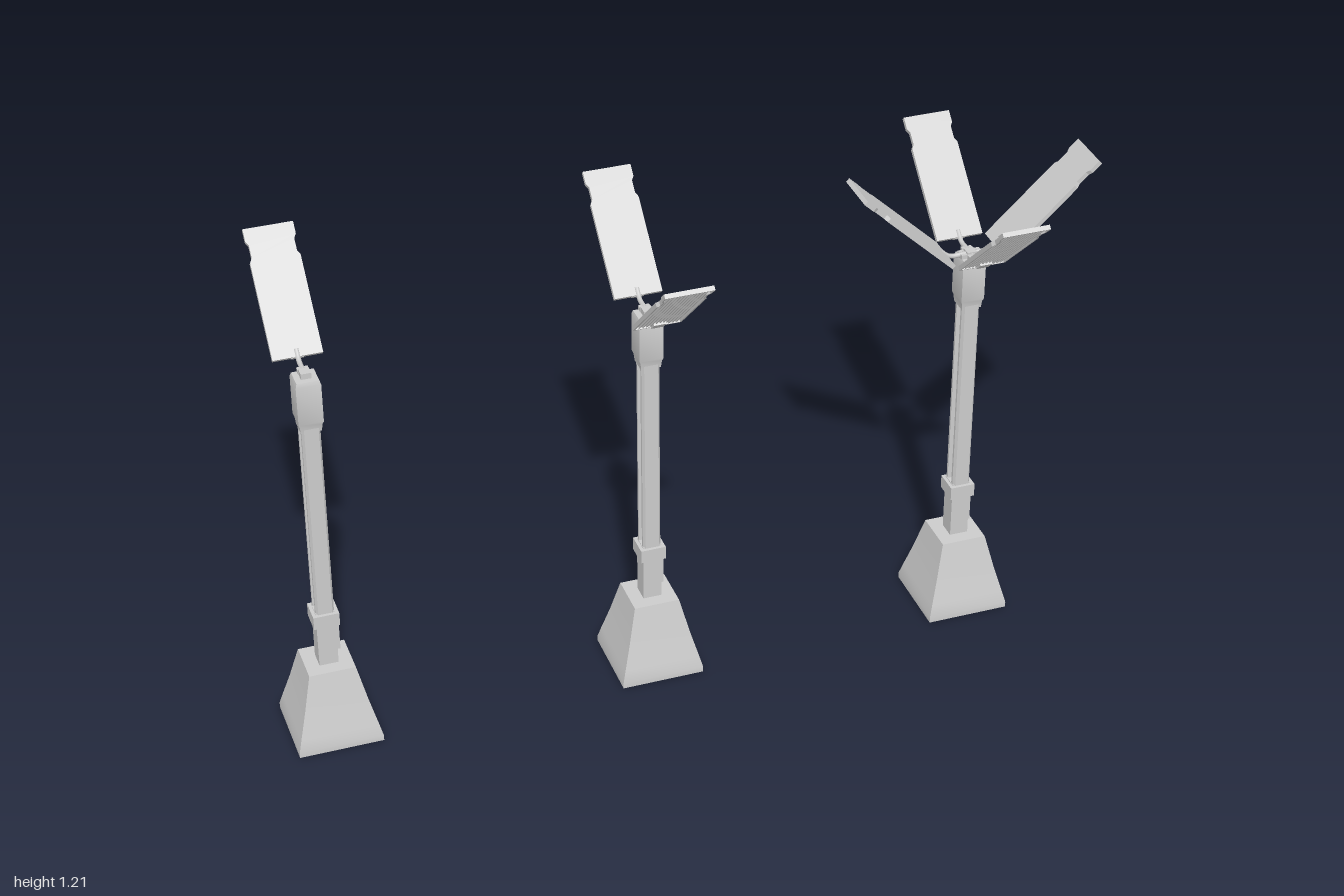
import * as THREE from 'three';
import { toCreasedNormals } from 'three/addons/utils/BufferGeometryUtils.js';

const grey = new THREE.MeshStandardMaterial({ color: 0xcccccc });

function add(parent, name, geometry, x = 0, y = 0, z = 0) {
  const mesh = new THREE.Mesh(geometry, grey);
  mesh.name = name;
  mesh.position.set(x, y, z);
  parent.add(mesh);
  return mesh;
}

const box = (w, h, d) => new THREE.BoxGeometry(w, h, d);

// Square tower from [half width, height] pairs, closed at both ends
function squareTower(profile) {
  const points = profile.map(([r, y]) => new THREE.Vector2(r * Math.SQRT2, y));
  points.unshift(new THREE.Vector2(0, profile[0][1]));
  points.push(new THREE.Vector2(0, profile[profile.length - 1][1]));
  const geometry = new THREE.LatheGeometry(points, 4).rotateY(Math.PI / 4);
  return toCreasedNormals(geometry, 0.4);
}

function polygon(points) {
  return new THREE.Shape(points.map(([x, y]) => new THREE.Vector2(x, y)));
}

function extrude(shape, depth) {
  return new THREE.ExtrudeGeometry(shape, { depth, bevelEnabled: false });
}

// Panel outline: a long plate with a shallow notch in each side near its tip
const LENGTH = 0.312, HALF = 0.058;
function panelOutline(inset) {
  const w = HALF - inset, n = w - 0.006;
  const side = [[w, inset], [w, 0.232], [n, 0.242], [n, 0.272], [w, 0.282], [w, LENGTH - inset]];
  return [...side, ...side.map(([x, y]) => [-x, y]).reverse()];
}

// One lamp arm reaching toward +z
function createArm() {
  const arm = new THREE.Group();
  arm.name = 'lampArm';

  // Bent tube and its clamp on the pole cap
  const path = new THREE.CatmullRomCurve3([
    [0.988, 0], [0.988, 0.025], [0.988, 0.046], [0.993, 0.06], [1.008, 0.077],
  ].map(([y, z]) => new THREE.Vector3(0, y, z)));
  add(arm, 'armTube', new THREE.TubeGeometry(path, 20, 0.006, 8));
  add(arm, 'armClamp', box(0.026, 0.012, 0.014), 0, 0.986, 0.02);

  // Tilted panel: smooth inner face, finned underside
  const panel = new THREE.Group();
  panel.name = 'lampPanel';
  panel.position.set(0, 0.997, 0.062);
  panel.rotation.x = -0.755;
  arm.add(panel);
  add(panel, 'panelPlate', extrude(polygon(panelOutline(0)), 0.004).rotateX(Math.PI / 2));
  const rim = polygon(panelOutline(0));
  rim.holes.push(polygon(panelOutline(0.004)));
  add(panel, 'panelRim', extrude(rim, 0.007).rotateX(Math.PI / 2), 0, -0.004, 0);
  for (let i = -5; i <= 5; i++) {
    add(panel, 'coolingFin', box(0.0025, 0.007, LENGTH - 0.012), i * 0.0088, -0.0065, LENGTH / 2);
  }
  add(panel, 'panelSocket', box(0.03, 0.01, 0.03), 0, -0.009, 0.014);
  return arm;
}

function createLamp(angles) {
  const lamp = new THREE.Group();
  lamp.name = 'streetLamp';

  // Flared foot
  add(lamp, 'foot', squareTower([
    [0.102, 0], [0.102, 0.014], [0.094, 0.045], [0.085, 0.078],
    [0.076, 0.112], [0.067, 0.15], [0.056, 0.196],
  ]));
  add(lamp, 'lowerPole', box(0.046, 0.16, 0.046), 0, 0.265, 0);

  // Two bevelled rails with an open slot between them
  const rail = polygon([
    [-0.022, 0.011], [0.022, 0.011], [0.022, 0.018], [0.017, 0.025], [-0.017, 0.025], [-0.022, 0.018],
  ]);
  for (const turn of [0, Math.PI]) {
    const geometry = extrude(rail, 0.53).rotateX(-Math.PI / 2).rotateY(turn);
    add(lamp, 'poleRail', geometry, 0, 0.33, 0);
  }

  // Collar with a control box and a framed rear hatch
  add(lamp, 'collar', box(0.062, 0.034, 0.062), 0, 0.326, 0.002);
  add(lamp, 'controlBox', box(0.014, 0.115, 0.036), 0.025, 0.283, -0.006);
  for (const y of [0.276, 0.326]) add(lamp, 'hatchFrame', box(0.034, 0.01, 0.014), 0.008, y, -0.029);
  for (const x of [-0.006, 0.022]) add(lamp, 'hatchFrame', box(0.008, 0.06, 0.014), x, 0.301, -0.029);
  add(lamp, 'hatchPlate', box(0.028, 0.05, 0.008), 0.008, 0.301, -0.026);

  // Pole cap
  add(lamp, 'poleCap', squareTower([
    [0.024, 0.848], [0.026, 0.866], [0.029, 0.874], [0.029, 0.972], [0.026, 0.982],
  ]));
  add(lamp, 'capHub', box(0.024, 0.016, 0.024), 0, 0.988, 0);

  for (const angle of angles) {
    const arm = createArm();
    arm.rotation.y = angle;
    lamp.add(arm);
  }
  return lamp;
}

export function createModel() {
  const model = new THREE.Group();
  model.name = 'streetLamps';
  const back = Math.PI, side = Math.PI / 2;
  // One, two and four panels
  [[back], [back, 0], [back, 0, side, -side]].forEach((angles, i) => {
    const lamp = createLamp(angles);
    lamp.position.x = -0.898 + i * 0.801;
    model.add(lamp);
  });
  return model;
}
